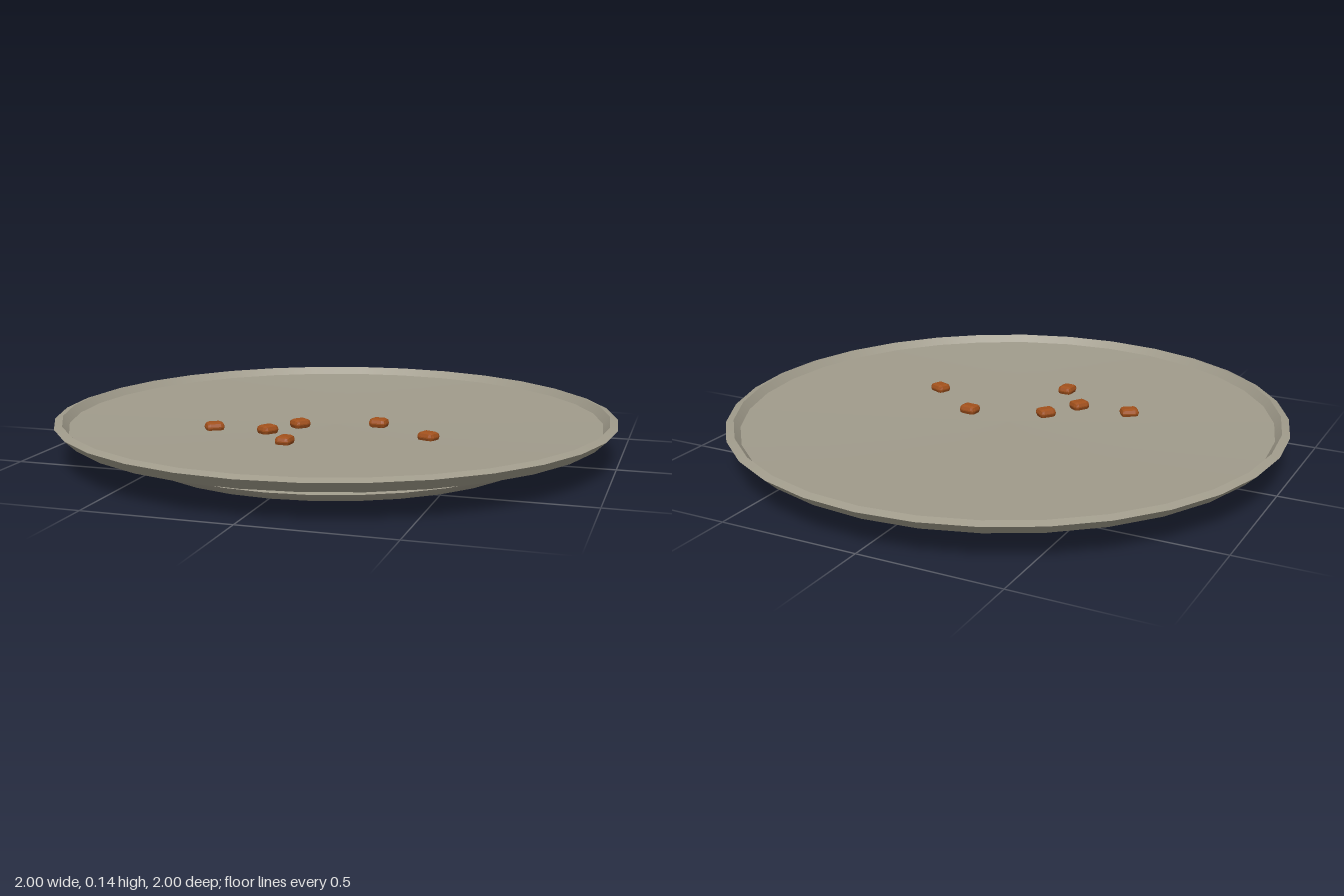
import * as THREE from 'three';
import { RoundedBoxGeometry } from 'three/addons/geometries/RoundedBoxGeometry.js';

const SEGMENTS = 32;

export function createModel() {
  const group = new THREE.Group();
  const stoneware = new THREE.MeshStandardMaterial({ color: 0xa09b8b });
  stoneware.name = 'greyStoneware';
  const brown = new THREE.MeshStandardMaterial({ color: 0xa0501c, flatShading: true });
  brown.name = 'brownMorsel';

  // Each band is revolved on its own so the edges between bands stay crisp
  const band = (name, points) => {
    const profile = points.map(([r, y]) => new THREE.Vector2(r, y));
    const mesh = new THREE.Mesh(new THREE.LatheGeometry(profile, SEGMENTS), stoneware);
    mesh.name = name;
    group.add(mesh);
  };

  // Foot
  band('footBase', [[0, 0], [0.7, 0], [0.74, 0.03]]);
  band('footTop', [[0.74, 0.03], [0.59, 0.058]]);

  // Plate
  band('plateUnderside', [[0.59, 0.058], [0.96, 0.098]]);
  band('rimOutside', [[0.96, 0.098], [1, 0.136]]);
  band('rimTop', [[1, 0.136], [0.972, 0.145]]);
  band('rimInside', [[0.972, 0.145], [0.95, 0.118]]);
  band('plateFloor', [[0.95, 0.118], [0.5, 0.106], [0, 0.098]]);

  // Scattered morsels: x, z, turn
  const morselShape = new RoundedBoxGeometry(0.066, 0.034, 0.056, 1, 0.015);
  [
    [-0.37, 0.25, 0.6],
    [-0.1, 0.11, 0.9],
    [-0.175, 0.24, 1.0],
    [-0.06, 0.385, 1.5],
    [0.165, 0.017, -0.1],
    [0.385, 0.183, -0.4],
  ].forEach(([x, z, turn], i) => {
    const morsel = new THREE.Mesh(morselShape, brown);
    morsel.name = `morsel${i + 1}`;
    morsel.position.set(x, 0.115, z);
    morsel.rotation.y = turn;
    group.add(morsel);
  });

  return group;
}
